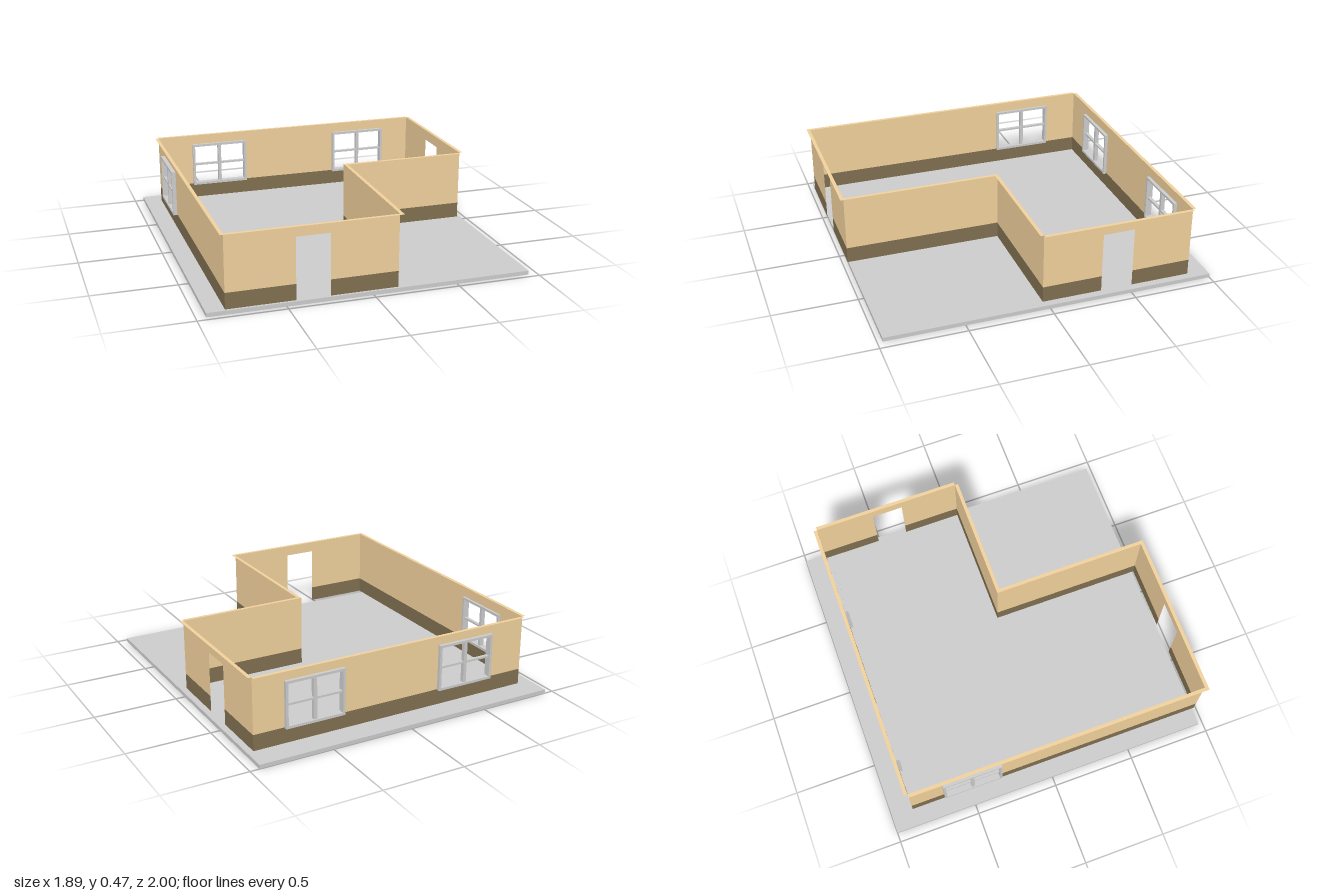
import * as THREE from 'three';

const grey = new THREE.MeshStandardMaterial({ color: 0xcccccc });
const tan = new THREE.MeshStandardMaterial({ color: 0xf0d09c, side: THREE.DoubleSide });
const brown = new THREE.MeshStandardMaterial({ color: 0x7f6f50, side: THREE.DoubleSide });

const BASE = 0.035, BAND = 0.13, TOP = 0.465;
const LEFT = -0.844, RIGHT = 0.915, STEP_X = 0.139;
const BACK = -0.868, FRONT = 0.978, STEP_Z = 0.037, CAP = 0.021;

function box(parent, name, w, h, d, x, y, z) {
  const mesh = new THREE.Mesh(new THREE.BoxGeometry(w, h, d), grey);
  mesh.name = name;
  mesh.position.set(x, y, z);
  parent.add(mesh);
}

// Thin upright wall along x or z, from a to b at the given offset.
// Openings are [start, end, bottom, top], in order along the wall.
function wall(name, axis, a, b, offset, openings = []) {
  const group = new THREE.Group();
  group.name = name;
  const panel = (s0, s1, y0, y1, mat, part) => {
    if (s1 - s0 < 1e-4 || y1 - y0 < 1e-4) return;
    const mesh = new THREE.Mesh(new THREE.PlaneGeometry(s1 - s0, y1 - y0), mat);
    mesh.name = part;
    const mid = (s0 + s1) / 2, y = (y0 + y1) / 2;
    if (axis === 'x') mesh.position.set(mid, y, offset);
    else {
      mesh.position.set(offset, y, mid);
      mesh.rotation.y = Math.PI / 2;
    }
    group.add(mesh);
  };
  const piece = (s0, s1, y0, y1) => {
    panel(s0, s1, y0, Math.min(y1, BAND), brown, 'lowerBand');
    panel(s0, s1, Math.max(y0, BAND), y1, tan, 'upperWall');
  };
  let s = a;
  for (const [o0, o1, y0, y1] of openings) {
    piece(s, o0, BASE, TOP);
    piece(o0, o1, BASE, y0);
    piece(o0, o1, y1, TOP);
    s = o1;
  }
  piece(s, b, BASE, TOP);
  return group;
}

// Flat strip along the top edge of a wall
function cap(x0, x1, z0, z1) {
  const mesh = new THREE.Mesh(new THREE.PlaneGeometry(x1 - x0, z1 - z0), tan);
  mesh.name = 'wallCap';
  mesh.rotation.x = -Math.PI / 2;
  mesh.position.set((x0 + x1) / 2, TOP, (z0 + z1) / 2);
  return mesh;
}

// Four-pane window frame
function windowFrame(name, x, z, turn) {
  const g = new THREE.Group();
  g.name = name;
  const W = 0.365, H = 0.28, T = 0.015, D = 0.04;
  for (const s of [-1, 1]) {
    box(g, 'frameSide', T, H, D, s * (W - T) / 2, 0, 0);
    box(g, 'frameRail', W - 2 * T, T, D, 0, s * (H - T) / 2, 0);
    box(g, 'crossBar', (W - 2 * T - 0.02) / 2, 0.012, 0.02, s * (W - 2 * T + 0.02) / 4, 0, 0);
  }
  box(g, 'mullion', 0.02, H - 2 * T, 0.025, 0, 0, 0);
  g.position.set(x, 0.265, z);
  g.rotation.y = turn;
  return g;
}

export function createModel() {
  const model = new THREE.Group();
  model.name = 'house';

  // Ground slab
  box(model, 'floorSlab', 1.89, 0.024, 1.97, 0, 0.012, -0.015);

  // L-shaped run of walls with two doorways and three windows
  const hole = (c) => [c - 0.17, c + 0.17, 0.135, 0.395];
  const backWindows = [-0.4375, 0.545], leftWindow = -0.481;
  model.add(
    wall('backWall', 'x', LEFT, RIGHT, BACK, backWindows.map(hole)),
    wall('leftWall', 'z', BACK, FRONT, LEFT, [hole(leftWindow)]),
    wall('frontWall', 'x', LEFT, STEP_X, FRONT, [[-0.45, -0.255, BASE, 0.4]]),
    wall('stepSideWall', 'z', STEP_Z, FRONT, STEP_X),
    wall('stepFrontWall', 'x', STEP_X, RIGHT, STEP_Z),
    wall('rightWall', 'z', BACK, STEP_Z, RIGHT, [[-0.51, -0.32, BASE, 0.4]])
  );

  // Top strips, projecting outward
  model.add(
    cap(LEFT, RIGHT, BACK - CAP, BACK),
    cap(LEFT - CAP, LEFT, BACK, FRONT),
    cap(LEFT - CAP, STEP_X + CAP, FRONT, FRONT + CAP),
    cap(STEP_X, STEP_X + CAP, STEP_Z + CAP, FRONT),
    cap(STEP_X, RIGHT, STEP_Z, STEP_Z + CAP),
    cap(RIGHT, RIGHT + CAP, BACK, STEP_Z)
  );

  // Windows
  for (const x of backWindows) model.add(windowFrame('backWindow', x, BACK, 0));
  model.add(windowFrame('leftWindow', LEFT - 0.005, leftWindow, Math.PI / 2));

  return model;
}
